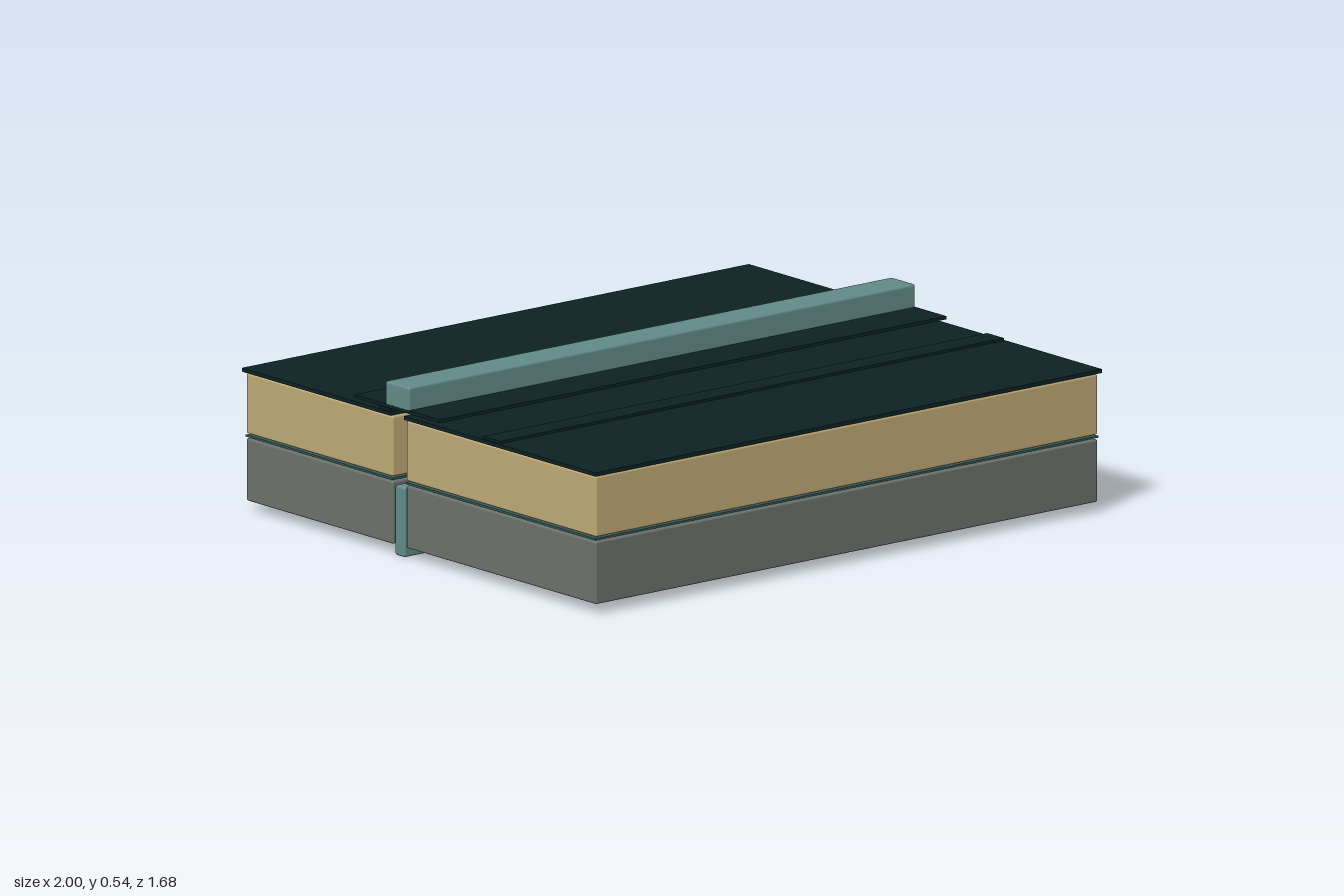
import * as THREE from 'three';
import { RoundedBoxGeometry } from 'three/addons/geometries/RoundedBoxGeometry.js';

const material = (name, color) => new THREE.MeshStandardMaterial({ name, color });

export function createModel() {
  const model = new THREE.Group();
  model.name = 'layeredFloor';
  const concrete = material('concreteGrey', 0x6d726c);
  const insulation = material('insulationTan', 0xc0aa77);
  const membrane = material('membraneDark', 0x0d2224);
  const teal = material('jointTeal', 0x628b89);
  const foil = material('foilTeal', 0x3a5c5a);

  // Layer running the full width, given by its y and z limits
  function layer(name, mat, halfX, y0, y1, z0, z1, radius = 0) {
    const size = [halfX * 2, y1 - y0, z1 - z0];
    const geometry = radius
      ? new RoundedBoxGeometry(...size, 2, radius)
      : new THREE.BoxGeometry(...size);
    const mesh = new THREE.Mesh(geometry, mat);
    mesh.name = name;
    mesh.position.set(0, (y0 + y1) / 2, (z0 + z1) / 2);
    model.add(mesh);
  }

  // Two stacks of layers either side of the open joint
  const stacks = [
    { side: 'front', inner: -0.07, outer: 0.832, edge: 0.84 },
    { side: 'back', inner: -0.135, outer: -0.832, edge: -0.84 },
  ];
  for (const { side, inner, outer, edge } of stacks) {
    const z0 = Math.min(inner, outer), z1 = Math.max(inner, outer);
    layer(side + 'ConcreteSlab', concrete, 0.99, 0.032, 0.228, z0, z1, 0.006);
    layer(side + 'Foil', foil, 0.992, 0.233, 0.239, z0, z1);
    layer(side + 'Insulation', insulation, 0.99, 0.243, 0.432, z0, z1, 0.006);
    layer(side + 'Membrane', membrane, 1, 0.436, 0.448,
      Math.min(inner, edge), Math.max(inner, edge));
  }

  // Lap strips on the membrane
  layer('frontLapStrip', membrane, 0.995, 0.448, 0.456, 0.3, 0.38);
  layer('backLapStrip', membrane, 0.995, 0.448, 0.456, -0.195, -0.14);

  // Cover sheet and rail over the joint, filler below it
  layer('coverSheet', membrane, 1, 0.459, 0.469, -0.305, 0.1);
  layer('coverRail', teal, 1, 0.464, 0.541, -0.16, -0.046, 0.008);
  layer('jointFiller', teal, 0.99, 0, 0.22, -0.126, -0.079, 0.008);

  return model;
}
